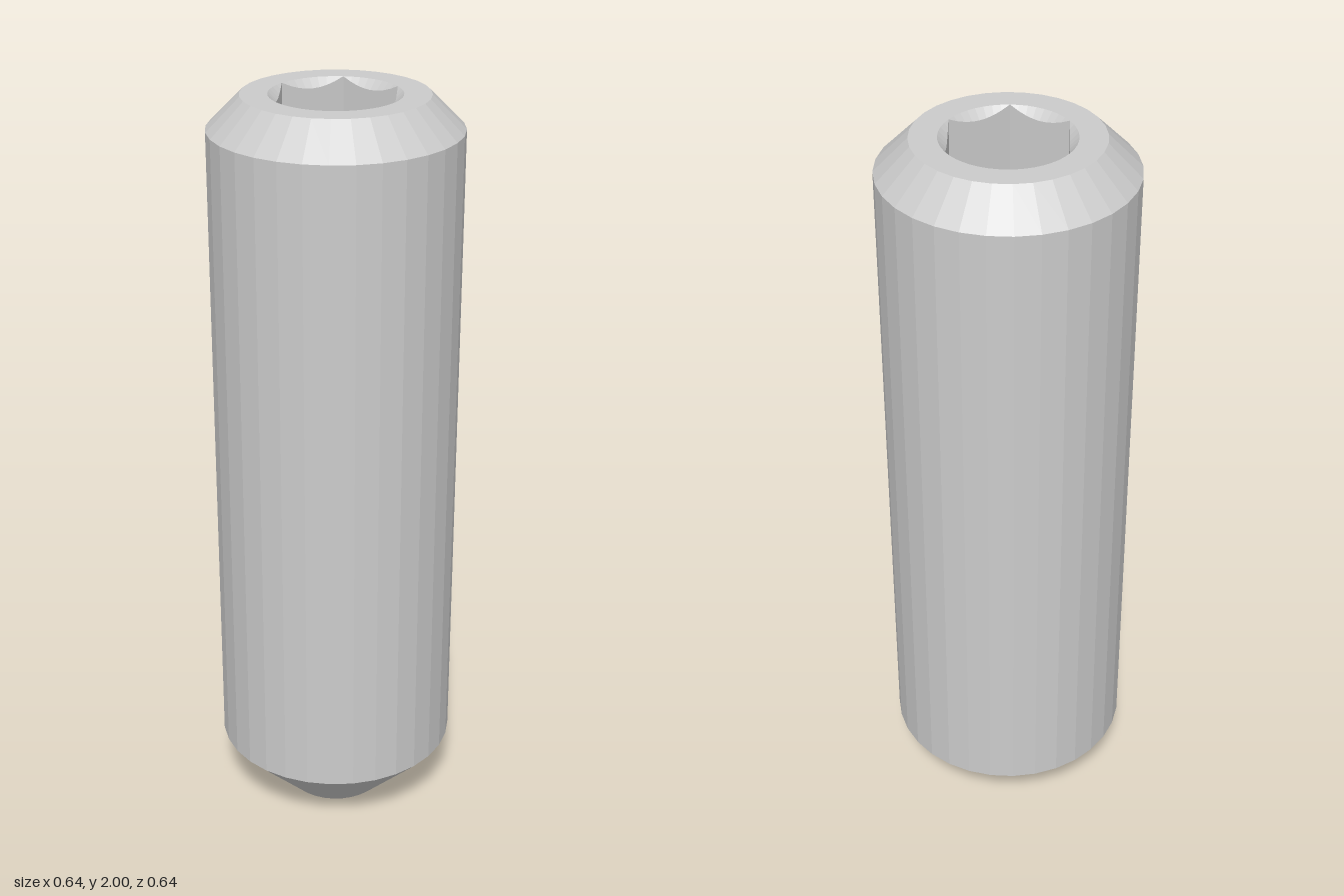
import * as THREE from 'three';

const SIDES = 32;
const HEIGHT = 2;
const TOP_RADIUS = 0.235;
const SOCKET_RADIUS = 0.166; // hexagon corner radius
const SOCKET_FLOOR = 1.4;

const profile = (pairs) => pairs.map(([r, y]) => new THREE.Vector2(r, y));

// Hexagonal recess: a turned profile whose wall rows are pulled in to a hexagon,
// leaving a 45 degree lead-in chamfer under the round rim
function socketGeometry() {
  const geometry = new THREE.LatheGeometry(profile([
    [SOCKET_RADIUS, HEIGHT],
    [SOCKET_RADIUS, HEIGHT - 0.001],
    [SOCKET_RADIUS, SOCKET_FLOOR],
    [0, SOCKET_FLOOR],
  ]), 48);
  const position = geometry.attributes.position;
  const apothem = SOCKET_RADIUS * Math.cos(Math.PI / 6);
  for (let i = 0; i < position.count; i++) {
    const row = i % 4;
    if (row !== 1 && row !== 2) continue;
    const angle = Math.atan2(position.getZ(i), position.getX(i)) + 2 * Math.PI;
    const radius = apothem / Math.cos((angle % (Math.PI / 3)) - Math.PI / 6);
    const y = row === 1 ? HEIGHT - (SOCKET_RADIUS - radius) : SOCKET_FLOOR;
    position.setXYZ(i, radius * Math.cos(angle), y, radius * Math.sin(angle));
  }
  geometry.computeVertexNormals();
  return geometry;
}

// Flat annular end face around the socket
function endFaceGeometry() {
  const circle = (radius, sides) => Array.from({ length: sides }, (_, i) => {
    const a = (i / sides) * Math.PI * 2;
    return new THREE.Vector2(radius * Math.cos(a), radius * Math.sin(a));
  });
  const shape = new THREE.Shape(circle(TOP_RADIUS, SIDES));
  shape.holes.push(new THREE.Path(circle(SOCKET_RADIUS, 48)));
  return new THREE.ShapeGeometry(shape).rotateX(-Math.PI / 2).translate(0, HEIGHT, 0);
}

export function createModel() {
  const group = new THREE.Group();
  group.name = 'setScrew';
  const material = new THREE.MeshStandardMaterial({ color: 0xcccccc, flatShading: true });
  const add = (name, geometry) => {
    const mesh = new THREE.Mesh(geometry, material);
    mesh.name = name;
    group.add(mesh);
  };

  // Hollow conical cup in the tip
  add('cupPoint', new THREE.LatheGeometry(profile([[0, 0.078], [0.135, 0]]), SIDES));
  // Tapered tip, straight shank and top chamfer
  add('shank', new THREE.LatheGeometry(profile([
    [0.135, 0], [0.32, 0.187], [0.32, 1.915], [TOP_RADIUS, HEIGHT],
  ]), SIDES));
  add('endFace', endFaceGeometry());
  add('hexSocket', socketGeometry());
  return group;
}
